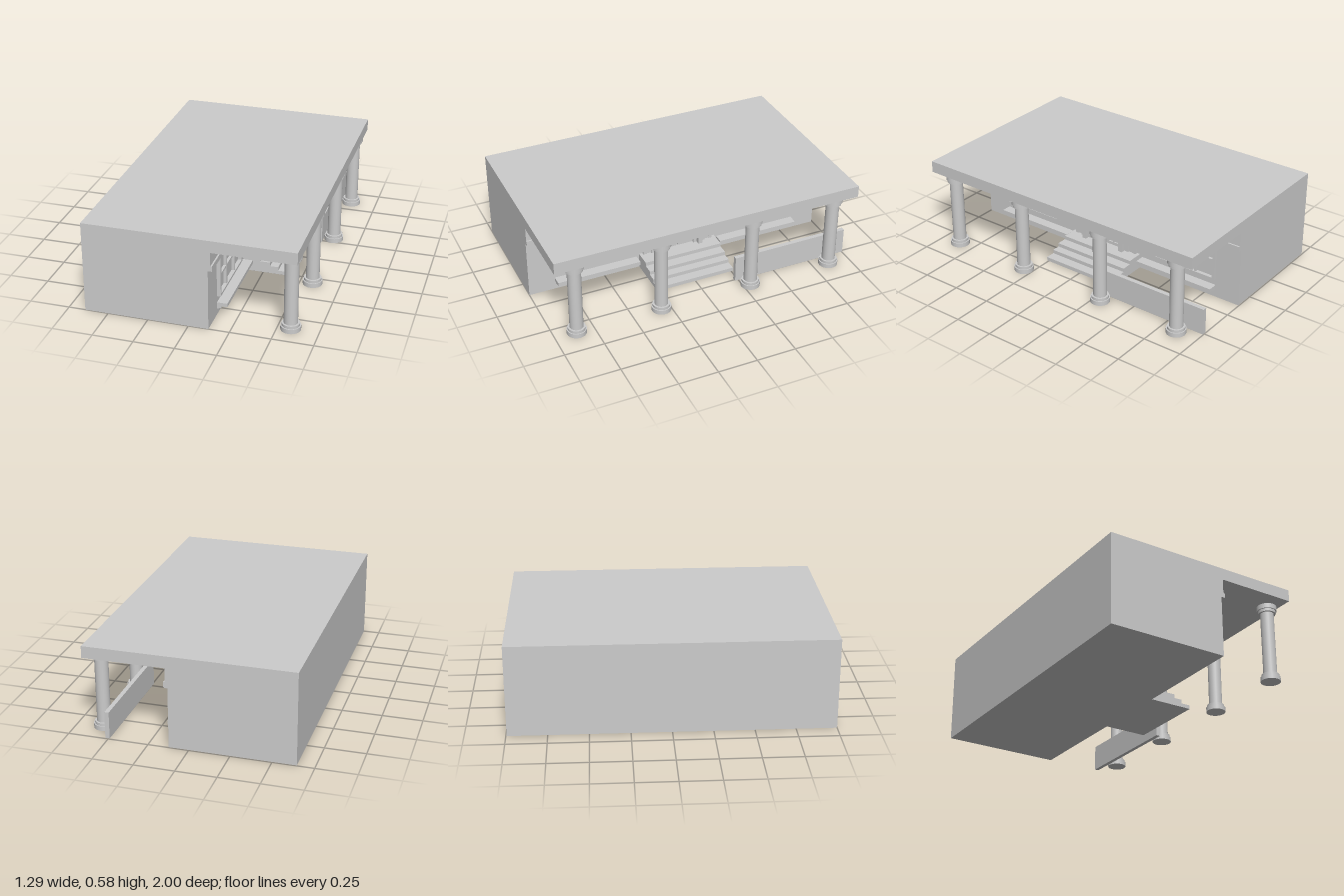
import * as THREE from 'three';

const material = new THREE.MeshStandardMaterial({ color: 0xcccccc });
const WALL = 0.123; // x of the facade plane; the facade faces +x
const FLOOR = 0.098; // y of the top step

export function createModel() {
  const model = new THREE.Group();

  function add(name, geometry, parent = model) {
    const mesh = new THREE.Mesh(geometry, material);
    mesh.name = name;
    parent.add(mesh);
    return mesh;
  }

  // box given by its limits on each axis
  function box(name, x0, x1, y0, y1, z0, z1, parent) {
    const mesh = add(name, new THREE.BoxGeometry(x1 - x0, y1 - y0, Math.abs(z1 - z0)), parent);
    mesh.position.set((x0 + x1) / 2, (y0 + y1) / 2, (z0 + z1) / 2);
    return mesh;
  }

  // outline extruded outward from the facade to x = front
  function facadeShape(name, shape, front, parent) {
    const geometry = new THREE.ExtrudeGeometry(shape, { depth: front - WALL, bevelEnabled: false, curveSegments: 24 });
    geometry.rotateY(Math.PI / 2);
    const mesh = add(name, geometry, parent);
    mesh.position.x = WALL;
    return mesh;
  }

  // hall and overhanging roof in one outline
  const section = new THREE.Shape();
  [[-0.645, 0], [WALL, 0], [WALL, 0.505], [0.645, 0.505], [0.645, 0.58], [-0.645, 0.58]]
    .forEach(([x, y], i) => (i ? section.lineTo(x, y) : section.moveTo(x, y)));
  const hall = add('hallAndRoof', new THREE.ExtrudeGeometry(section, { depth: 1.995, bevelEnabled: false }));
  hall.position.z = -0.995;

  // round columns: [radius, bottom, top]
  const drums = [
    [0.061, 0, 0.029], [0.054, 0.029, 0.046], [0.042, 0.046, 0.456], [0.054, 0.456, 0.474], [0.061, 0.474, 0.505],
  ];
  for (const z of [0.86, 0.31, -0.297, -0.856]) {
    const column = new THREE.Group();
    column.name = 'column';
    column.position.set(0.58, 0, z);
    model.add(column);
    drums.forEach(([r, y0, y1]) => {
      add('columnDrum', new THREE.CylinderGeometry(r, r, y1 - y0, 24), column).position.y = (y0 + y1) / 2;
    });
  }

  // low wall between the columns
  box('lowWall', 0.489, 0.516, 0.005, 0.175, -1, -0.225);

  // entrance steps
  [0.41, 0.348, 0.295, 0.23].forEach((x, i) => {
    box('step', WALL, x, i * FLOOR / 4, (i + 1) * FLOOR / 4, -0.262, 0.262);
  });

  // central bay
  const bay = new THREE.Shape();
  bay.moveTo(-0.23, FLOOR);
  bay.lineTo(0.23, FLOOR);
  bay.lineTo(0.23, 0.505);
  bay.lineTo(-0.23, 0.505);
  bay.holes.push(archPath(new THREE.Path(), 0.17));
  facadeShape('centralBay', bay, 0.138);

  // nested arch mouldings round the entrance
  function archPath(path, r) {
    path.moveTo(r, FLOOR);
    path.lineTo(r, 0.233);
    path.absarc(0, 0.233, r, 0, Math.PI, false);
    path.lineTo(-r, FLOOR);
    path.closePath();
    return path;
  }
  [[0.187, 0.15, 0.148], [0.158, 0.13, 0.176], [0.135, 0.106, 0.148]].forEach(([outer, inner, front]) => {
    const arch = archPath(new THREE.Shape(), outer);
    arch.holes.push(archPath(new THREE.Path(), inner));
    facadeShape('entranceArch', arch, front);
  });

  // double door with glazed leaves under a lintel
  const door = new THREE.Group();
  door.name = 'doubleDoor';
  model.add(door);
  box('lintel', WALL, 0.138, 0.245, 0.257, -0.108, 0.108, door);
  for (const s of [-1, 1]) {
    const leaf = new THREE.Shape();
    leaf.moveTo(0.004, FLOOR);
    leaf.lineTo(0.106, FLOOR);
    leaf.lineTo(0.106, 0.245);
    leaf.lineTo(0.004, 0.245);
    for (const x of [0.022, 0.064]) {
      for (const [y0, y1] of [[0.118, 0.176], [0.184, 0.234]]) {
        const pane = new THREE.Path();
        pane.moveTo(x, y0);
        pane.lineTo(x, y1);
        pane.lineTo(x + 0.034, y1);
        pane.lineTo(x + 0.034, y0);
        leaf.holes.push(pane);
      }
    }
    facadeShape('doorLeaf', leaf, 0.133, door).position.z = s > 0 ? 0.11 : 0;
  }

  // both wings: window, sill, string course and frieze
  for (const s of [-1, 1]) {
    const wing = new THREE.Group();
    wing.name = 'wing';
    model.add(wing);
    const end = s > 0 ? 1 : 0.995;
    const part = (name, x, y0, y1, a, b) => box(name, WALL, x, y0, y1, s * a, s * b, wing);

    // window frame and glazing bars
    part('windowFrame', 0.147, 0.373, 0.388, 0.375, 0.83);
    part('windowFrame', 0.147, 0.125, 0.14, 0.375, 0.83);
    part('windowFrame', 0.147, 0.14, 0.373, 0.375, 0.392);
    part('windowFrame', 0.147, 0.14, 0.373, 0.813, 0.83);
    for (const z of [0.522, 0.688]) part('mullion', 0.142, 0.14, 0.373, z - 0.007, z + 0.007);
    part('transom', 0.14, 0.25, 0.264, 0.392, 0.813);

    // sill on a sloped moulding
    part('sill', 0.187, 0.06, 0.083, 0.28, 0.83);
    const slope = new THREE.Shape();
    slope.moveTo(WALL, 0.038);
    slope.lineTo(0.148, 0.046);
    slope.lineTo(0.148, 0.06);
    slope.lineTo(WALL, 0.06);
    const moulding = add('sillMoulding', new THREE.ExtrudeGeometry(slope, { depth: 0.54, bevelEnabled: false }), wing);
    moulding.position.z = s > 0 ? 0.285 : -0.825;

    // string course, pilaster and frieze blocks
    part('stringCourse', 0.148, 0.385, 0.418, 0.23, end);
    part('pilaster', 0.143, FLOOR, 0.505, 0.215, 0.24);
    part('friezeEnd', 0.138, 0.418, 0.505, 0.82, end);
    part('friezeEnd', 0.138, 0.418, 0.505, 0.24, 0.375);
    for (let i = 0; i < 7; i++) part('friezeBlock', 0.138, 0.418, 0.505, 0.396 + i * 0.059, 0.438 + i * 0.059);
  }

  return model;
}
